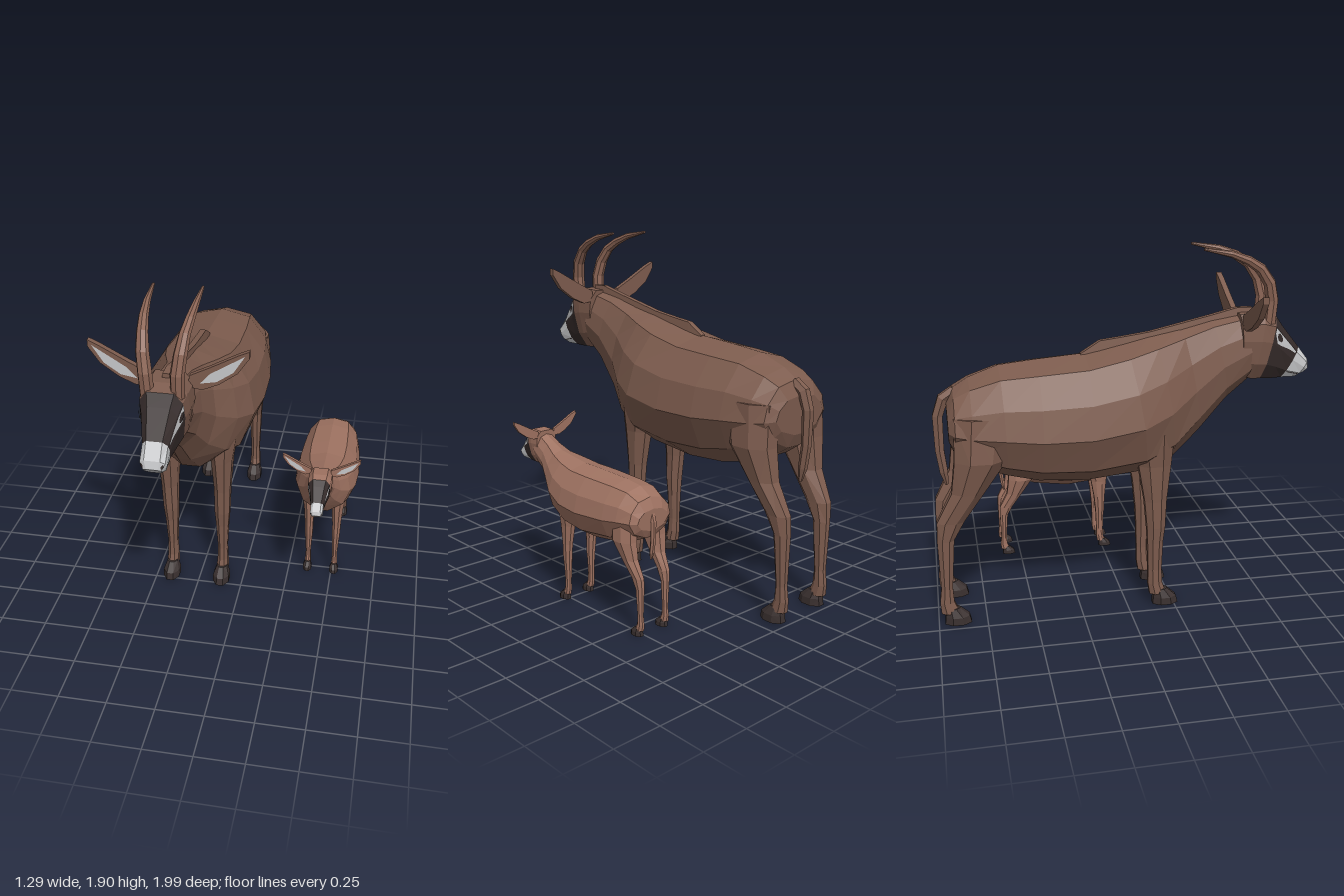
import * as THREE from 'three';

const V = (x, y, z) => new THREE.Vector3(x, y, z);
const mat = (name, color, side = THREE.FrontSide) => {
  const m = new THREE.MeshStandardMaterial({ color, side, flatShading: true });
  m.name = name;
  return m;
};

// Faceted skin over a list of closed rings, capped at both ends
function loft(name, rings, material) {
  const tris = [], n = rings[0].length;
  for (let i = 0; i < rings.length - 1; i++) {
    for (let j = 0; j < n; j++) {
      const k = (j + 1) % n, a = rings[i], b = rings[i + 1];
      tris.push([a[j], a[k], b[k]], [a[j], b[k], b[j]]);
    }
  }
  const last = rings[rings.length - 1];
  for (let j = 1; j < n - 1; j++) {
    tris.push([rings[0][0], rings[0][j + 1], rings[0][j]], [last[0], last[j], last[j + 1]]);
  }
  // turn inside-out skins round
  const o = rings[0][0];
  const volume = tris.reduce((s, t) => {
    const [a, b, c] = t.map(p => p.clone().sub(o));
    return s + a.dot(b.cross(c));
  }, 0);
  if (volume < 0) tris.forEach(t => t.reverse());
  const g = new THREE.BufferGeometry().setFromPoints(tris.flat());
  g.computeVertexNormals();
  return named(name, new THREE.Mesh(g, material));
}
function named(name, obj) { obj.name = name; return obj; }

// Ring from a half profile; section = [zTop, yTop, zBottom, yBottom, halfWidth]
function ring(half, [zt, yt, zb, yb, w]) {
  const pt = (s, [x, t]) => V(s * x * w, yb + (yt - yb) * t, zb + (zt - zb) * t);
  return [...half.map(p => pt(1, p)), ...half.filter(p => p[0] > 0).reverse().map(p => pt(-1, p))];
}
const BODY = [[0.2, 0], [0.76, 0.17], [1, 0.45], [0.89, 0.7], [0.56, 0.93], [0, 1]];
const HEAD = [[0.4, 0], [0.85, 0.25], [1, 0.6], [0.95, 0.85], [0.6, 1]];

// Upright limb; section = [y, x, zFront, zBack, halfWidth]
function limb(name, sections, material) {
  return loft(name, sections.map(([y, x, zf, zb, w]) => Array.from({ length: 8 }, (_, i) => {
    const a = (i + 0.5) * Math.PI / 4, c = 1.06;
    return V(x + w * c * Math.cos(a), y, (zf + zb) / 2 + (zf - zb) / 2 * c * Math.sin(a));
  })), material);
}

// Round tapering part along a path in the yz plane; point = [x, y, z, radius]
function taper(name, pts, sides, material) {
  return loft(name, pts.map(([x, y, z, r], i) => {
    const p = pts[Math.max(i - 1, 0)], q = pts[Math.min(i + 1, pts.length - 1)];
    const n = V(0, -(q[2] - p[2]), q[1] - p[1]).normalize();
    return Array.from({ length: sides }, (_, k) => {
      const a = k / sides * Math.PI * 2;
      return V(x + r * Math.cos(a), y, z).addScaledVector(n, r * Math.sin(a));
    });
  }), material);
}

// Thin painted strip on the head; row = [section, lowSide, highSide]
function patch(name, rings, rows, lift, material) {
  const at = (s, r) => {
    const i = Math.min(Math.floor(s), rings.length - 2), j = Math.floor(r);
    const edge = k => rings[k][j].clone().lerp(rings[k][j + 1], r - j);
    return edge(i).lerp(edge(i + 1), s - i).add(V(lift, 0, lift * 0.5));
  };
  const pts = [];
  for (let i = 0; i < rows.length - 1; i++) {
    const [s, l, h] = rows[i], [s2, l2, h2] = rows[i + 1];
    pts.push(at(s, l), at(s2, l2), at(s2, h2), at(s, l), at(s2, h2), at(s, h));
  }
  const g = new THREE.BufferGeometry().setFromPoints(pts);
  g.computeVertexNormals();
  return named(name, new THREE.Mesh(g, material));
}

// Build one side and its mirror image
function pair(name, build) {
  const g = named(name, new THREE.Group());
  for (const s of [1, -1]) {
    const side = named(s > 0 ? 'left' : 'right', new THREE.Group());
    side.add(...build());
    side.scale.x = s;
    g.add(side);
  }
  return g;
}

const outline = pts => new THREE.Shape(pts.map(p => new THREE.Vector2(...p)));

function buildHead(coat, m) {
  const g = named('head', new THREE.Group());
  const rings = [
    [0.60, 1.55, 0.62, 1.22, 0.12], [0.73, 1.555, 0.68, 1.2, 0.118],
    [0.795, 1.535, 0.73, 1.2, 0.108], [0.835, 1.48, 0.79, 1.195, 0.09],
    [0.935, 1.36, 0.85, 1.195, 0.064], [0.99, 1.29, 0.93, 1.195, 0.063],
    [1.0, 1.25, 0.96, 1.21, 0.045],
  ].map(s => ring(HEAD, s));
  g.add(loft('skull', rings.slice(0, 3), coat),
    loft('darkFace', rings.slice(2, 5), m.dark),
    loft('muzzle', rings.slice(4), m.white));
  g.add(pair('faceMarkings', () => [
    patch('eyeStripe', rings, [[2.05, 2.6, 2.95], [2.5, 2.15, 2.95], [3, 2.2, 2.95], [3.5, 2.5, 2.95], [3.9, 2.7, 2.9]], 0.004, m.white),
    patch('eye', rings, [[2.3, 2.5, 2.7], [2.5, 2.35, 2.85], [2.85, 2.4, 2.8], [3, 2.55, 2.7]], 0.007, m.dark),
    patch('mouth', rings, [[4, 0.8, 0.9], [4.9, 0.7, 0.85], [5.9, 0.6, 0.8]], 0.003, m.dark),
    patch('nostril', rings, [[5.2, 3.3, 3.5], [5.5, 3.1, 3.7], [5.8, 3.3, 3.5]], 0.004, m.dark),
  ]));
  // leaf-shaped ears with pale insides
  g.add(pair('ears', () => {
    const leaf = outline([[0.09, 1.49], [0.10, 1.55], [0.2, 1.6], [0.33, 1.67], [0.385, 1.695],
      [0.385, 1.66], [0.33, 1.58], [0.24, 1.515], [0.16, 1.48]]);
    const inside = outline([[0.15, 1.515], [0.2, 1.57], [0.365, 1.672], [0.31, 1.585], [0.23, 1.53]]);
    const ear = named('ear', new THREE.Mesh(new THREE.ExtrudeGeometry(leaf, { depth: 0.03, bevelEnabled: false }), coat));
    ear.position.z = 0.605;
    const lining = named('earLining', new THREE.Mesh(new THREE.ShapeGeometry(inside), m.white));
    lining.position.z = 0.639;
    return [ear, lining];
  }));
  return g;
}

// Legs, hooves and tail, shared by both animals
function buildLimbs(coat, m) {
  const g = named('limbs', new THREE.Group());
  const hoof = (x, z) => limb('hoof', [[0, x, z + 0.07, z - 0.07, 0.046], [0.04, x, z + 0.06, z - 0.066, 0.046],
    [0.085, x, z + 0.01, z - 0.055, 0.03]], m.hoof);
  g.add(pair('frontLegs', () => [
    limb('frontLeg', [[0.98, 0.15, 0.24, 0.0, 0.09], [0.8, 0.15, 0.225, 0.05, 0.06], [0.6, 0.15, 0.205, 0.085, 0.046],
      [0.45, 0.148, 0.2, 0.1, 0.043], [0.36, 0.147, 0.19, 0.105, 0.036], [0.2, 0.147, 0.185, 0.11, 0.027],
      [0.12, 0.147, 0.19, 0.11, 0.03], [0.06, 0.147, 0.21, 0.12, 0.034]], coat),
    hoof(0.147, 0.205)]));
  g.add(pair('hindLegs', () => [
    limb('hindLeg', [[1.12, 0.17, -0.58, -0.88, 0.09], [0.9, 0.18, -0.62, -0.885, 0.095], [0.73, 0.17, -0.735, -0.905, 0.068],
      [0.57, 0.16, -0.845, -0.985, 0.046], [0.47, 0.157, -0.9, -0.988, 0.038], [0.2, 0.155, -0.92, -0.98, 0.027],
      [0.12, 0.155, -0.915, -0.99, 0.03], [0.06, 0.155, -0.89, -0.985, 0.034]], coat),
    hoof(0.155, -0.9)]));
  g.add(taper('tail', [[0, 1.21, -0.86, 0.03], [0, 1.17, -0.92, 0.032], [0, 1.08, -0.95, 0.03],
    [0, 0.9, -0.948, 0.026], [0, 0.78, -0.932, 0.024], [0, 0.71, -0.92, 0.01]], 6, coat));
  return g;
}

const bodyOf = (sections, coat) => loft('body', sections.map(s => ring(BODY, s)), coat);

export function createModel() {
  const m = {
    adult: mat('adultCoat', 0x7d5c4e), calf: mat('calfCoat', 0x9e7261), horn: mat('horn', 0x8c6555),
    dark: mat('darkFace', 0x352b2a, THREE.DoubleSide), white: mat('paleMarking', 0xc8c9cb, THREE.DoubleSide),
    hoof: mat('hoof', 0x3b3130),
  };
  const model = named('antelopePair', new THREE.Group());

  // grown animal with horns and mane
  const adult = named('adult', new THREE.Group());
  adult.add(buildHead(m.adult, m), buildLimbs(m.adult, m), bodyOf([
    [0.64, 1.55, 0.67, 1.2, 0.117], [0.46, 1.52, 0.55, 1.1, 0.13], [0.30, 1.48, 0.40, 0.93, 0.165],
    [0.15, 1.45, 0.26, 0.8, 0.25], [0, 1.415, 0.1, 0.735, 0.312], [-0.2, 1.37, -0.2, 0.705, 0.328],
    [-0.45, 1.35, -0.45, 0.72, 0.322], [-0.64, 1.33, -0.62, 0.76, 0.297], [-0.79, 1.275, -0.78, 0.82, 0.265],
    [-0.87, 1.225, -0.87, 0.88, 0.235], [-0.905, 1.15, -0.9, 0.95, 0.18]], m.adult));
  adult.add(pair('horns', () => [taper('horn', [[0.072, 1.5, 0.755, 0.035], [0.076, 1.62, 0.763, 0.035],
    [0.088, 1.71, 0.742, 0.033], [0.098, 1.785, 0.69, 0.028], [0.108, 1.83, 0.62, 0.024],
    [0.115, 1.865, 0.53, 0.018], [0.12, 1.893, 0.385, 0.007]], 8, m.horn)]));
  adult.add(loft('mane', [[0.68, 1.575], [0.6, 1.575], [0.46, 1.54], [0.14, 1.467], [0, 1.447], [-0.12, 1.432], [-0.22, 1.37]]
    .map(([z, y]) => [V(0.024, y - 0.07, z), V(0.016, y, z), V(-0.016, y, z), V(-0.024, y - 0.07, z)]), m.adult));
  adult.position.x = -0.268;

  // hornless calf
  const calf = named('calf', new THREE.Group());
  const head = buildHead(m.calf, m), limbs = buildLimbs(m.calf, m);
  head.scale.setScalar(0.53);
  head.position.set(0, 0.045, -0.055);
  limbs.scale.setScalar(0.53);
  limbs.position.z = -0.09;
  calf.add(head, limbs, bodyOf([
    [0.29, 0.86, 0.31, 0.69, 0.063], [0.2, 0.815, 0.24, 0.645, 0.072], [0.13, 0.785, 0.17, 0.56, 0.1],
    [0.03, 0.77, 0.08, 0.465, 0.147], [-0.07, 0.757, -0.05, 0.41, 0.172], [-0.2, 0.755, -0.2, 0.395, 0.18],
    [-0.4, 0.747, -0.4, 0.42, 0.168], [-0.5, 0.735, -0.48, 0.45, 0.155], [-0.57, 0.695, -0.57, 0.49, 0.135],
    [-0.595, 0.64, -0.59, 0.53, 0.1]], m.calf));
  calf.position.x = 0.437;

  model.add(adult, calf);
  return model;
}
